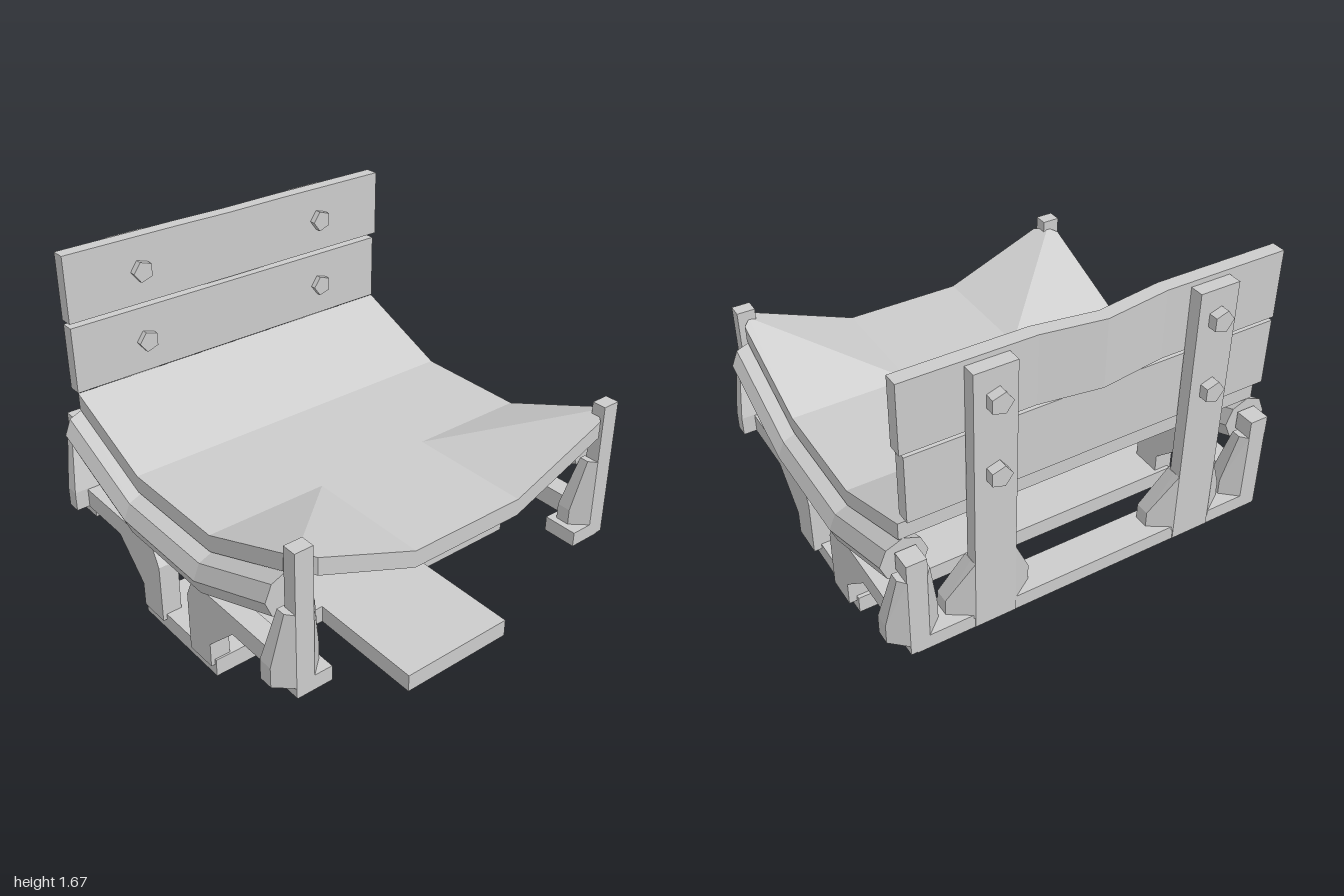
import * as THREE from 'three';
import { ConvexGeometry } from 'three/addons/geometries/ConvexGeometry.js';

const material = new THREE.MeshStandardMaterial({ color: 0xcccccc, flatShading: true });

export function createModel() {
  const model = new THREE.Group();

  function add(name, geometry) {
    const mesh = new THREE.Mesh(geometry, material);
    mesh.name = name;
    model.add(mesh);
    return mesh;
  }

  // Box given by its limits on each axis
  function box(name, x0, x1, y0, y1, z0, z1, depthSegments = 1) {
    const g = new THREE.BoxGeometry(x1 - x0, y1 - y0, z1 - z0, 1, 1, depthSegments);
    g.translate((x0 + x1) / 2, (y0 + y1) / 2, (z0 + z1) / 2);
    return add(name, g);
  }

  // Flat outline in x and y, given a thickness from z0 to z1
  function slab(name, points, z0, z1) {
    const shape = new THREE.Shape(points.map(p => new THREE.Vector2(...p)));
    const g = new THREE.ExtrudeGeometry(shape, { depth: z1 - z0, bevelEnabled: false });
    return add(name, g.translate(0, 0, z0));
  }

  // T-shaped base plate: lies flat, its outline drawn in x and z
  const plate = slab('basePlate', [
    [-0.28, -0.91], [0.31, -0.91], [0.31, -0.31], [0.92, -0.31],
    [0.92, 0.29], [0.31, 0.29], [0.31, 0.89], [-0.28, 0.89],
  ], 0, 0.09);
  plate.geometry.rotateX(-Math.PI / 2);

  // Bracket legs, one pair under each side
  const leftLeg = [
    [-0.86, 0.465], [-0.15, 0.465], [-0.1, 0.365], [-0.1, 0.06],
    [-0.26, 0.06], [-0.26, 0.185], [-0.45, 0.365], [-0.86, 0.365],
  ];
  const rightLeg = [
    [0.9, 0.465], [0.18, 0.465], [0.135, 0.365], [0.135, 0.06],
    [0.3, 0.06], [0.3, 0.185], [0.485, 0.365], [0.9, 0.365],
  ];
  for (const z of [-0.93, 0.83]) {
    slab('bracketLeg', leftLeg, z, z + 0.1);
    slab('bracketLeg', rightLeg, z, z + 0.1);
  }

  // Seat: a sagging sheet with two raised corners
  const seatHeight = (x, z) => x < 0
    ? 0.76 + 0.42 * Math.max(0, -0.28 - x)
    : 0.76 + 0.4 * Math.max(0, Math.min(x - 0.3, Math.abs(z) - 0.3));
  const thickness = 0.085;
  const raised = [
    [[0.3, 0.3], [0.3, 0.9], [0.82, 0.9], [0.86, 0.86]],
    [[0.3, 0.3], [0.86, 0.86], [0.92, 0.81], [0.92, 0.3]],
  ];
  const patches = [
    [[-0.78, -0.9], [-0.78, 0.9], [-0.28, 0.9], [-0.28, -0.9]],
    [[-0.28, -0.9], [-0.28, 0.9], [0.3, 0.9], [0.3, -0.9]],
    [[0.3, -0.3], [0.3, 0.3], [0.92, 0.3], [0.92, -0.3]],
    ...raised,
    ...raised.map(p => p.map(([x, z]) => [x, -z]).reverse()),
  ];
  const half = [[-0.78, 0.9], [-0.28, 0.9], [0.3, 0.9], [0.82, 0.9], [0.86, 0.86], [0.92, 0.81], [0.92, 0.3]];
  const rim = [...half, ...half.map(([x, z]) => [x, -z]).reverse()];
  const positions = [];
  const top = ([x, z]) => [x, seatHeight(x, z), z];
  const under = ([x, z]) => [x, seatHeight(x, z) - thickness, z];
  const triangle = (...corners) => corners.forEach(c => positions.push(...c));
  for (const p of patches) {
    for (let i = 1; i < p.length - 1; i++) {
      triangle(top(p[0]), top(p[i]), top(p[i + 1]));
      triangle(under(p[0]), under(p[i + 1]), under(p[i]));
    }
  }
  rim.forEach((a, i) => {
    const b = rim[(i + 1) % rim.length];
    triangle(top(a), under(a), under(b));
    triangle(top(a), under(b), top(b));
  });
  const seat = new THREE.BufferGeometry();
  seat.setAttribute('position', new THREE.Float32BufferAttribute(positions, 3));
  seat.computeVertexNormals();
  add('seat', seat);

  // Bent eight-sided rails below the seat sides
  const railPath = [[-0.78, 0.775], [-0.27, 0.565], [0.3, 0.565], [0.82, 0.77]];
  for (const z of [-0.88, 0.88]) {
    const g = new THREE.CylinderGeometry(0.11, 0.11, 3, 8, 3).rotateZ(Math.PI / 2);
    const p = g.attributes.position;
    for (let i = 0; i < p.count; i++) {
      const [x, y] = railPath[Math.round(p.getX(i) + 1.5)];
      p.setXYZ(i, x, y + p.getY(i), z + p.getZ(i));
    }
    g.computeVertexNormals();
    add('sideRail', g);
  }

  // Flared buttress that widens from a post towards its foot
  function buttress(name, outerX, z, postHalf, topHalf, footHalf, topY) {
    const inward = -Math.sign(outerX);
    const points = [];
    const pair = (dx, y, h) => {
      for (const s of [-1, 1]) points.push(new THREE.Vector3(outerX + inward * dx, y, z + s * h));
    };
    for (const y of [0.37, 0.47]) {
      pair(0, y, postHalf);
      pair(0.07, y, footHalf);
      pair(0.14, y, footHalf);
    }
    pair(0, topY, postHalf);
    pair(0.035, topY, topHalf);
    pair(0.08, topY, topHalf);
    add(name, new ConvexGeometry(points));
  }

  // Beam under the backrest, and foot plates under the opposite posts
  box('rearBeam', -0.88, -0.71, 0.315, 0.39, -0.89, 0.915);
  box('footPlate', 0.745, 0.92, 0.315, 0.39, 0.74, 0.915);
  box('footPlate', 0.745, 0.92, 0.315, 0.39, -0.89, -0.72);

  // Corner posts
  for (const z of [-0.875, 0.875]) {
    box('tallCornerPost', 0.85, 0.92, 0.32, 1.03, z - 0.045, z + 0.045);
    buttress('cornerButtress', 0.92, z, 0.045, 0.075, 0.122, 0.74);
    box('shortCornerPost', -0.88, -0.81, 0.32, 0.78, z - 0.045, z + 0.045);
    box('postCap', -0.88, -0.785, 0.74, 0.83, z - 0.047, z + 0.047);
    buttress('cornerButtress', -0.88, z, 0.045, 0.075, 0.122, 0.74);
  }

  // Backrest posts with bolts
  for (const z of [-0.515, 0.53]) {
    box('backPost', -0.885, -0.82, 0.32, 1.645, z - 0.098, z + 0.098);
    buttress('backButtress', -0.885, z, 0.098, 0.1, 0.205, 0.69);
    for (const y of [1.15, 1.505]) {
      const g = new THREE.CylinderGeometry(0.053, 0.053, 0.21, 5).rotateZ(Math.PI / 2);
      add('bolt', g.translate(-0.825, y, z));
    }
  }

  // Backrest boards: the upper one is bowed at the middle
  box('lowerBoard', -0.815, -0.748, 0.99, 1.32, -0.875, 0.915);
  const upper = box('upperBoard', -0.82, -0.752, 1.34, 1.67, -0.895, 0.915, 6).geometry;
  const p = upper.attributes.position;
  for (let i = 0; i < p.count; i++) {
    const bow = Math.max(0, 1 - Math.abs(p.getZ(i) - 0.01) / 0.302);
    p.setX(i, p.getX(i) - 0.027 * bow);
    p.setY(i, p.getY(i) - 0.015 * bow);
  }
  upper.computeVertexNormals();

  return model;
}
